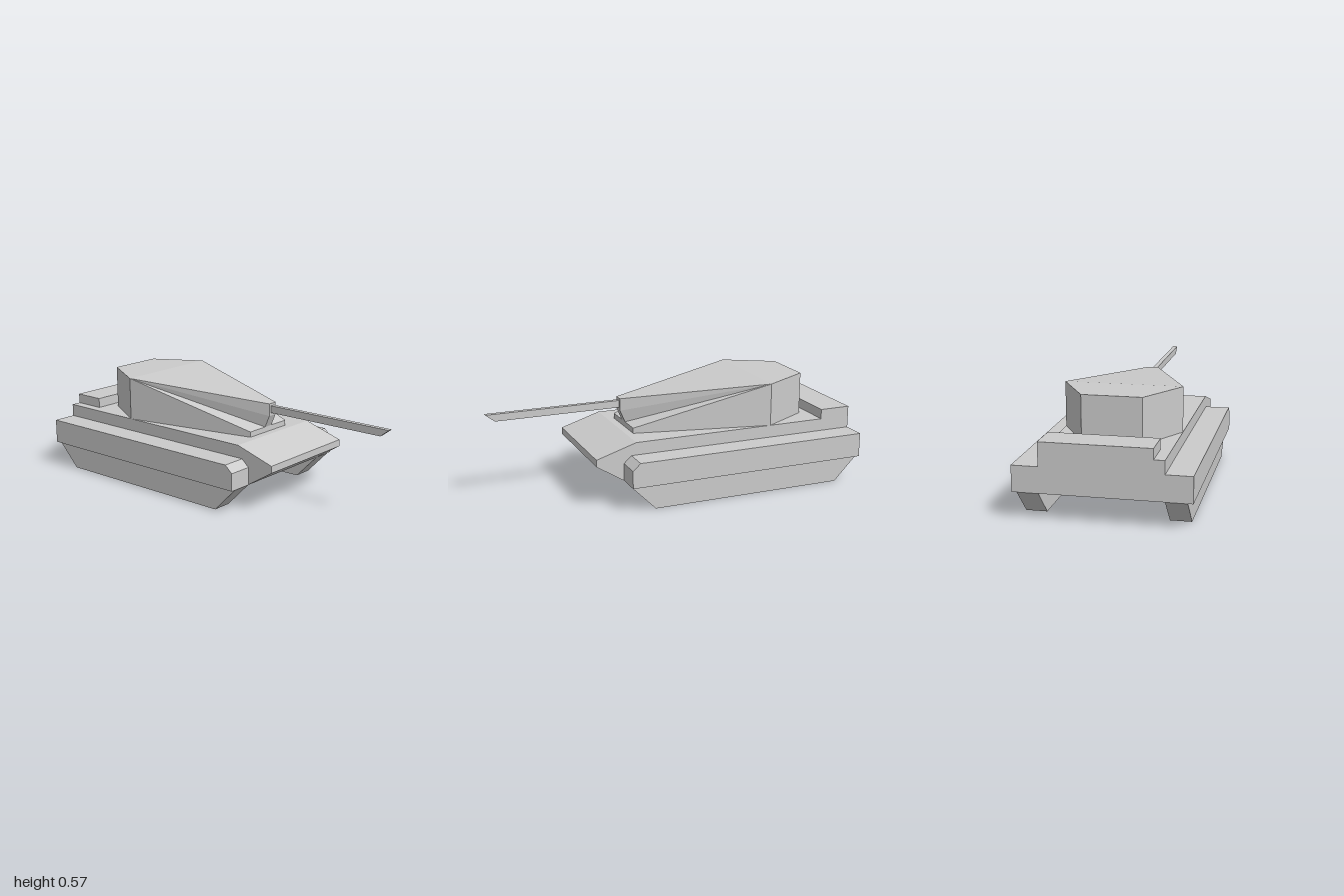
import * as THREE from 'three';

const material = new THREE.MeshStandardMaterial({ color: 0xcccccc, flatShading: true });

function addMesh(group, name, geometry) {
  const mesh = new THREE.Mesh(geometry, material);
  mesh.name = name;
  group.add(mesh);
}

// Side profile given as [z, y] points, extruded across from x0 to x1
function slab(profile, x0, x1) {
  const shape = new THREE.Shape(profile.map(([z, y]) => new THREE.Vector2(z, y)));
  const geometry = new THREE.ExtrudeGeometry(shape, { depth: x1 - x0, bevelEnabled: false });
  return geometry.rotateY(-Math.PI / 2).translate(x1, 0, 0);
}

// Faceted turret: one half is described by corner points and mirrored
function turretGeometry() {
  const gunTop = [0.027, 0.5, 0.268], gunMid = [0.027, 0.433, 0.268], gunLow = [0.027, 0.367, 0.24];
  const lipTop = [0.152, 0.367, 0.24], lipLow = [0.152, 0.338, 0.24];
  const sideTop = [0.304, 0.572, -0.505], sideLow = [0.304, 0.338, -0.505];
  const rearTop = [0.152, 0.572, -0.77], rearLow = [0.152, 0.338, -0.77];

  const mirror = ([x, y, z]) => [-x, y, z];
  const positions = [];
  const face = (...p) => {
    for (let i = 1; i < p.length - 1; i++) positions.push(...p[0], ...p[i], ...p[i + 1]);
  };

  // Cheeks and walls, on both sides
  const sides = [
    [gunTop, gunMid, sideTop],
    [gunMid, gunLow, sideTop],
    [gunLow, lipTop, sideTop],
    [lipTop, lipLow, sideLow, sideTop],
    [sideTop, sideLow, rearLow, rearTop],
  ];
  for (const side of sides) {
    face(...side);
    face(...side.map(mirror).reverse());
  }

  // Faces spanning the centre line: rear, roof, gun plate, front lip, floor
  const spans = [
    [rearLow, rearTop], [rearTop, sideTop], [sideTop, gunTop],
    [gunTop, gunMid], [gunMid, gunLow], [lipTop, lipLow],
    [lipLow, sideLow], [sideLow, rearLow],
  ];
  for (const [a, b] of spans) face(mirror(a), mirror(b), b, a);

  const geometry = new THREE.BufferGeometry();
  geometry.setAttribute('position', new THREE.Float32BufferAttribute(positions, 3));
  geometry.computeVertexNormals();
  return geometry;
}

export function createModel() {
  const model = new THREE.Group();
  model.name = 'tank';

  // Hull with a wedge nose, and the off-centre raised rear deck
  const hull = [[-1, 0.137], [0.35, 0.137], [0.5, 0.232], [0.5, 0.27], [0.28, 0.338], [-1, 0.338]];
  addMesh(model, 'hull', slab(hull, -0.304, 0.304));
  const deck = [[-1, 0.338], [-0.825, 0.338], [-0.825, 0.392], [-1, 0.392]];
  addMesh(model, 'rearDeck', slab(deck, -0.25, 0.304));

  // Fenders and tracks
  const fender = [[-1, 0.137], [0.35, 0.137], [0.35, 0.232], [0.308, 0.27], [-1, 0.27]];
  const track = [[-0.865, 0], [0.215, 0], [0.35, 0.137], [-1, 0.137]];
  for (const [side, s] of [['left', 1], ['right', -1]]) {
    const across = (inner, outer) => (s > 0 ? [inner, outer] : [-outer, -inner]);
    addMesh(model, side + 'Fender', slab(fender, ...across(0.304, 0.437)));
    addMesh(model, side + 'Track', slab(track, ...across(0.304, 0.411)));
  }

  // Turret and gun with a slanted muzzle
  addMesh(model, 'turret', turretGeometry());
  const gun = [[0.26, 0.448], [0.95, 0.448], [1, 0.487], [0.26, 0.487]];
  addMesh(model, 'gunBarrel', slab(gun, -0.013, 0.013));

  return model;
}
